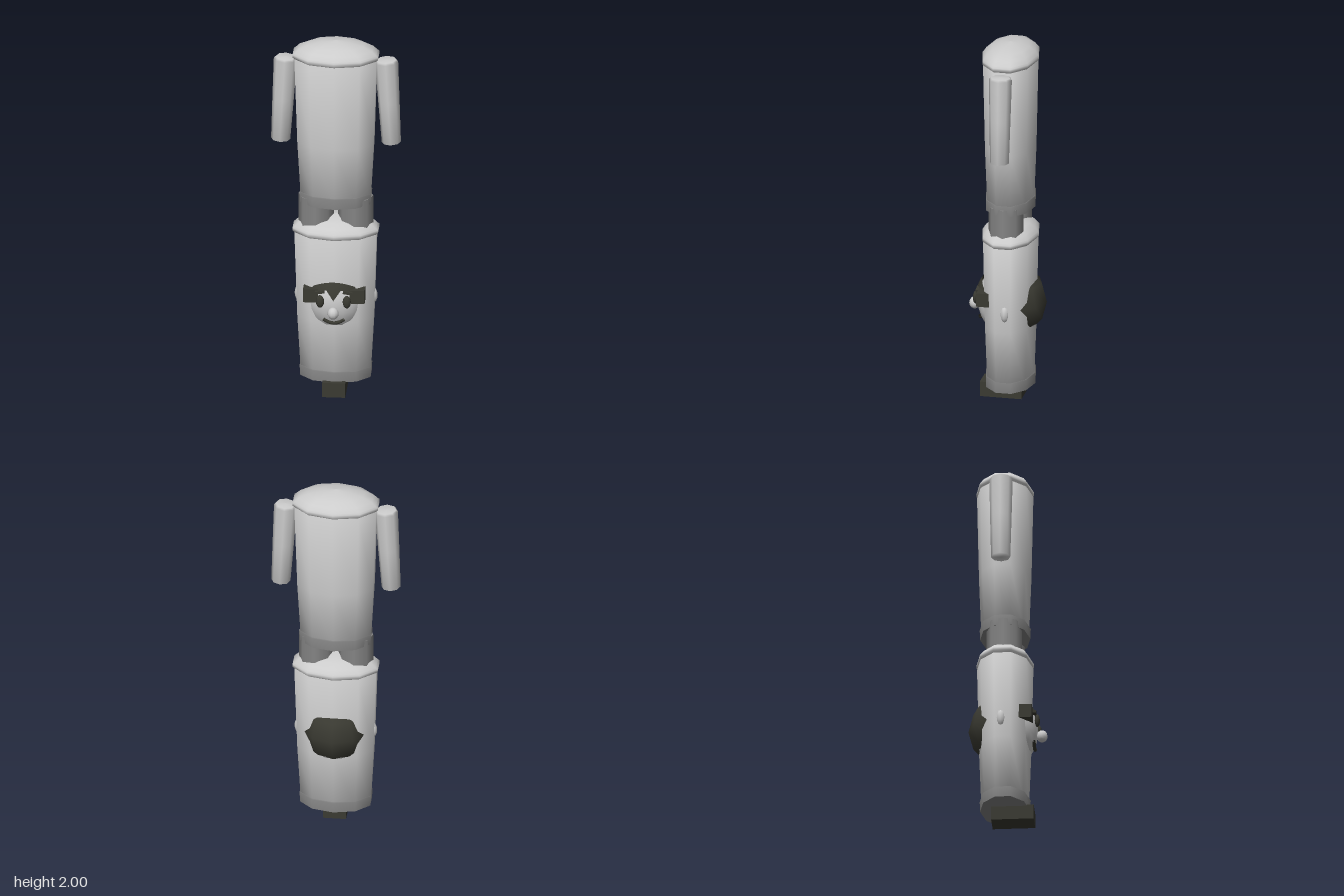
import * as THREE from 'three';

const mat = (name, color, side = THREE.FrontSide) => {
  const m = new THREE.MeshStandardMaterial({ color, side });
  m.name = name;
  return m;
};

export function createModel() {
  const light = mat('light grey', 0xcccccc);
  const grey = mat('mid grey', 0x858585);
  const dark = mat('dark olive', 0x3a3a32, THREE.DoubleSide);
  const root = new THREE.Group();
  const CZ = -0.015;

  const add = (parent, name, geo, m, x = 0, y = 0, z = 0) => {
    const mesh = new THREE.Mesh(geo, m);
    mesh.name = name;
    mesh.position.set(x, y, z);
    parent.add(mesh);
    return mesh;
  };
  // turned shape, profile runs from bottom to top; depth flattens it into an oval
  const turned = (pts, sides, depth = 1) =>
    new THREE.LatheGeometry(pts.map(p => new THREE.Vector2(...p)), sides).scale(1, 1, depth);
  const ellipsoid = (rx, ry, rz, w = 10, h = 8) =>
    new THREE.SphereGeometry(1, w, h).scale(rx, ry, rz);

  // two stacked barrels: domed cap, rim, softly shaded tapered wall, bottom band
  for (const [name, y] of [['upperBody', 1], ['lowerBody', 0]]) {
    const g = new THREE.Group();
    g.name = name;
    g.position.set(0, y, CZ);
    root.add(g);
    add(g, 'dome', turned([[0.229, 0.932], [0.205, 0.955], [0.155, 0.977], [0.08, 0.993], [0, 1]], 10, 0.645), light);
    add(g, 'rim', turned([[0.222, 0.897], [0.238, 0.91], [0.238, 0.926], [0.222, 0.937]], 10, 0.64), light);
    add(g, 'wall', turned([[0, 0.1], [0.193, 0.1], [0.212, 0.42], [0.228, 0.9], [0, 0.9]], 10, 0.655), light);
    add(g, 'band', turned([[0.196, 0.075], [0.199, 0.132], [0.185, 0.136]], 10, 0.68), grey);
    add(g, 'base', turned([[0, 0.075], [0.196, 0.075]], 10, 0.68), grey);
  }

  for (const s of [1, -1]) {
    const side = s > 0 ? 'left' : 'right';
    // leg bridging the two barrels
    add(root, side + 'Leg', new THREE.CylinderGeometry(0.094, 0.094, 0.18, 8), grey, s * 0.104, 1.02, -0.012);

    // hanging tapered arm
    const arm = add(root, side + 'Arm',
      turned([[0, -0.237], [0.051, -0.237], [0.057, 0], [0.062, 0.226], [0.052, 0.236], [0, 0.239]], 8),
      light, s * 0.28, 1.657, -0.018);
    arm.rotation.z = s * 0.055;

    // ear, side lock, eye and brow
    add(root, side + 'Ear', ellipsoid(0.03, 0.05, 0.025), light, s * 0.19, 0.528, -0.025);
    add(root, side + 'SideLock', new THREE.BoxGeometry(0.08, 0.075, 0.07), dark, s * 0.123, 0.582, 0.102);
    add(root, side + 'Eye', ellipsoid(0.022, 0.036, 0.014), dark, s * 0.071, 0.563, 0.16);
    add(root, side + 'Brow', new THREE.BoxGeometry(0.05, 0.014, 0.02), dark, s * 0.074, 0.61, 0.145).rotation.z = -s * 0.15;
  }

  // head set into the lower barrel
  const HX = 0.17, HY = 0.2, HZ = 0.175, HCY = 0.535;
  add(root, 'face', ellipsoid(HX, HY, HZ, 20, 14), light, 0, HCY, CZ);
  add(root, 'nose', ellipsoid(0.03, 0.033, 0.03), light, 0, 0.504, 0.18);

  // hair on the back of the head only
  const step = Math.PI / 5;
  add(root, 'backHair', new THREE.SphereGeometry(1, 4, 6, 1.5 * Math.PI - 2 * step, 4 * step)
    .scale(0.185, 0.2, 0.195), dark, 0, 0.54, CZ);

  // curved sheet of hair over the brow, with a widow's peak
  const faceZ = (x, y) =>
    CZ + HZ * Math.sqrt(Math.max(0.1, 1 - (x / HX) ** 2 - ((y - HCY) / HY) ** 2));
  const edge = [0.57, 0.598, 0.623, 0.62, 0.605, 0.605, 0.59];
  const cols = 12, rows = 4;
  const fringe = new THREE.PlaneGeometry(1, 1, cols, rows);
  const pos = fringe.attributes.position;
  for (let i = 0; i < pos.count; i++) {
    const c = (i % (cols + 1)) - cols / 2;
    const t = Math.floor(i / (cols + 1)) / rows;
    const x = c * 0.019;
    const top = 0.662 - 2.8 * x * x;
    const y = THREE.MathUtils.lerp(top, edge[Math.abs(c)], t);
    pos.setXYZ(i, x, y, faceZ(x, y) + 0.014);
  }
  fringe.computeVertexNormals();
  add(root, 'fringe', fringe, dark);

  // smiling mouth
  const smile = new THREE.CatmullRomCurve3([-0.055, -0.03, 0, 0.03, 0.055].map(x => {
    const y = 0.432 + 7 * x * x;
    return new THREE.Vector3(x, y, faceZ(x, y) + 0.006);
  }));
  add(root, 'mouth', new THREE.TubeGeometry(smile, 12, 0.009, 6), dark);

  // single foot block under the lower barrel
  add(root, 'foot', new THREE.BoxGeometry(0.122, 0.082, 0.225), dark, 0, 0.041, 0.027);

  return root;
}
